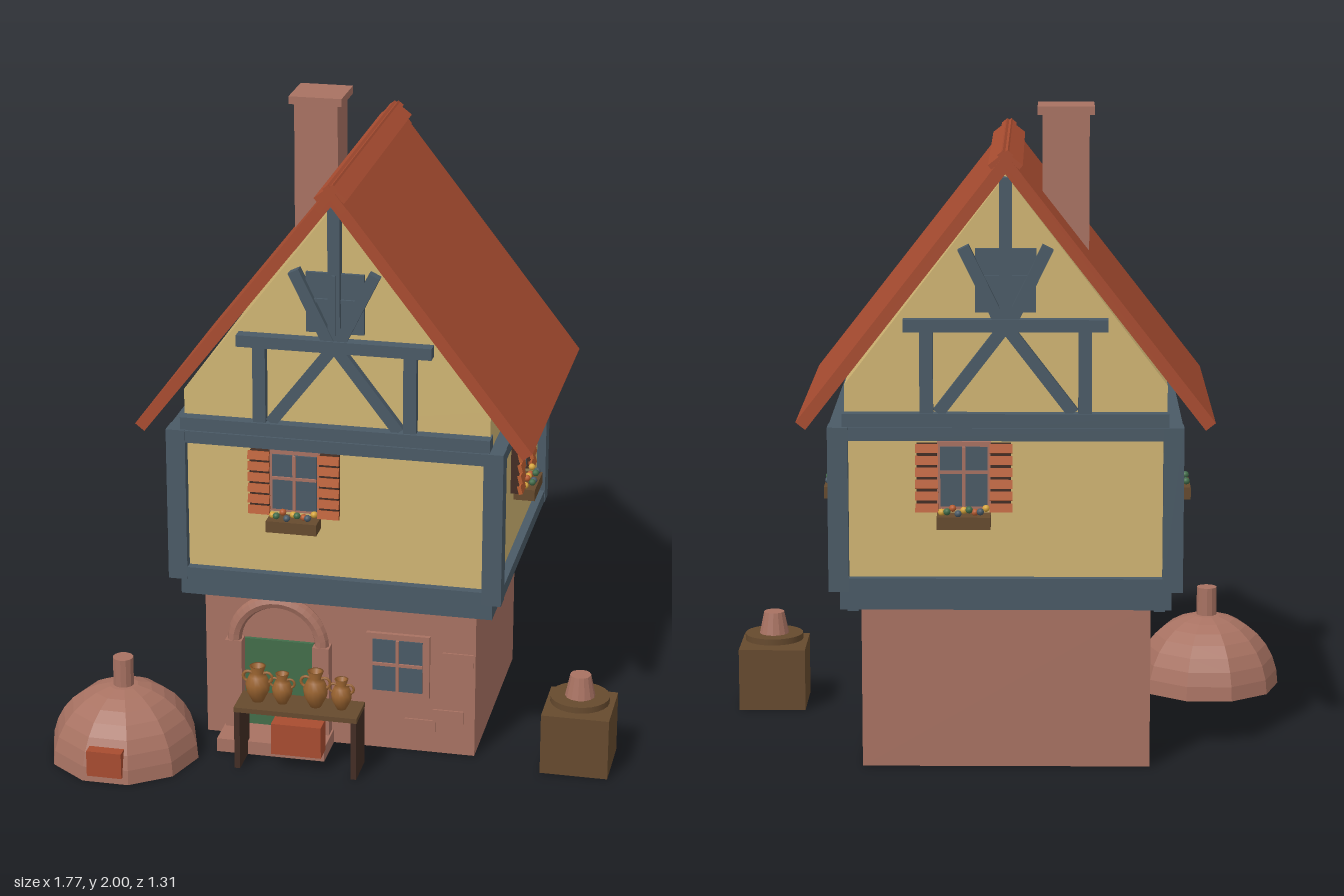
import * as THREE from 'three';

const mat = (name, color, extra = {}) => {
  const m = new THREE.MeshStandardMaterial({ color, ...extra });
  m.name = name;
  return m;
};

export function createModel() {
  const M = {
    brick: mat('clay brick', 0xa87262, { flatShading: true, side: THREE.DoubleSide }),
    plaster: mat('plaster', 0xd0b573),
    timber: mat('blue timber', 0x4a5a66),
    roof: mat('roof tile', 0xa84c30),
    green: mat('door green', 0x426d4a),
    orange: mat('shutter orange', 0xb85c30),
    wood: mat('wood', 0x664a2e),
    dark: mat('dark wood', 0x432d24),
    pot: mat('pottery', 0x98622f),
    yellow: mat('flower yellow', 0xd8a63c),
  };

  const add = (parent, name, geo, m, x = 0, y = 0, z = 0) => {
    const mesh = new THREE.Mesh(geo, m);
    mesh.name = name;
    mesh.position.set(x, y, z);
    parent.add(mesh);
    return mesh;
  };
  const group = (parent, name, x = 0, y = 0, z = 0, ry = 0) => {
    const g = new THREE.Group();
    g.name = name;
    g.position.set(x, y, z);
    g.rotation.y = ry;
    parent.add(g);
    return g;
  };
  // Box given by its lower and upper limits
  const box = (p, name, m, x0, x1, y0, y1, z0, z1) =>
    add(p, name, new THREE.BoxGeometry(x1 - x0, y1 - y0, z1 - z0), m, (x0 + x1) / 2, (y0 + y1) / 2, (z0 + z1) / 2);
  // Timber between two points in the x-y plane
  const beam = (p, name, m, x0, y0, x1, y1, w, z0, z1) => {
    const b = add(p, name, new THREE.BoxGeometry(Math.hypot(x1 - x0, y1 - y0), w, z1 - z0), m,
      (x0 + x1) / 2, (y0 + y1) / 2, (z0 + z1) / 2);
    b.rotation.z = Math.atan2(y1 - y0, x1 - x0);
    return b;
  };
  // Solid from an x-y outline, centred along z
  const prism = (pts, depth) => new THREE.ExtrudeGeometry(
    new THREE.Shape(pts.map(([x, y]) => new THREE.Vector2(x, y))), { depth, bevelEnabled: false })
    .translate(0, 0, -depth / 2);

  const model = group(new THREE.Group(), 'potteryHouse');
  const house = group(model, 'house', 0.008, 0, -0.153);

  // Ground floor and projecting sill
  box(house, 'groundFloor', M.brick, -0.437, 0.437, 0, 0.51, -0.37, 0.37);
  box(house, 'sill', M.timber, -0.497, 0.497, 0.508, 0.572, -0.435, 0.435);
  for (const s of [-1, 1]) for (const z of [0.325, 0.105, -0.055, -0.31])
    box(house, 'joistEnd', M.timber, s * 0.465 - 0.017, s * 0.465 + 0.017, 0.475, 0.51, z - 0.017, z + 0.017);

  // Upper storey with timber frame
  box(house, 'upperWall', M.plaster, -0.5, 0.5, 0.575, 1.06, -0.437, 0.437);
  for (const s of [-1, 1]) {
    for (const t of [-1, 1])
      box(house, 'cornerPost', M.timber, s * 0.4985 - 0.0305, s * 0.4985 + 0.0305, 0.57, 1.07,
        t * 0.435 - 0.032, t * 0.435 + 0.032);
    for (const [y0, y1] of [[0.571, 0.611], [1.03, 1.069]]) {
      box(house, 'frontRail', M.timber, -0.48, 0.48, y0, y1, s * 0.445 - 0.02, s * 0.445 + 0.02);
      box(house, 'sideRail', M.timber, s * 0.505 - 0.022, s * 0.505 + 0.022, y0, y1, -0.41, 0.41);
    }
  }

  // Shuttered window with flower box, facing +z from the wall
  const flowerMats = [M.yellow, M.green, M.orange, M.timber];
  const windowUnit = (x, z, ry) => {
    const holder = group(house, 'windowSide', 0, 0, 0, ry);
    const w = group(holder, 'shutteredWindow', x, 0.92, z);
    box(w, 'windowFrame', M.brick, -0.08, 0.08, -0.1, 0.105, 0, 0.012);
    box(w, 'glass', M.timber, -0.07, 0.07, -0.09, 0.09, 0.005, 0.018);
    box(w, 'mullion', M.brick, -0.005, 0.005, -0.09, 0.09, 0.01, 0.024);
    box(w, 'crossbar', M.brick, -0.07, 0.07, 0.01, 0.019, 0.01, 0.024);
    for (const s of [-1, 1]) {
      box(w, 'shutterBack', M.dark, s * 0.11 - 0.03, s * 0.11 + 0.03, -0.105, 0.1, 0, 0.026);
      for (let i = 0; i < 6; i++) {
        const slat = add(w, 'slat', new THREE.BoxGeometry(0.068, 0.027, 0.012), M.orange, s * 0.11, -0.092 + i * 0.036, 0.03);
        slat.rotation.x = -0.25;
      }
    }
    box(w, 'flowerBox', M.wood, -0.08, 0.08, -0.15, -0.113, 0, 0.068);
    for (let i = 0; i < 9; i++)
      add(w, 'flower', new THREE.IcosahedronGeometry(0.011, 1), flowerMats[i % 4],
        -0.066 + i * 0.0165, -0.104 + (i % 3) * 0.006, 0.035 + (i % 2) * 0.02);
  };
  windowUnit(-0.124, 0.437, 0);
  windowUnit(-0.124, 0.437, Math.PI);
  windowUnit(0, 0.5, Math.PI / 2);
  windowUnit(0, 0.5, -Math.PI / 2);

  // Gable body and its timbers, front and back
  add(house, 'gableWall', prism([[-0.48, 1.05], [0.48, 1.05], [0.48, 1.19], [0, 1.815], [-0.48, 1.19]], 0.84), M.plaster);
  for (const ry of [0, Math.PI]) {
    const g = group(house, 'gableTimbers', 0, 0, 0, ry);
    box(g, 'gableSill', M.timber, -0.485, 0.485, 1.03, 1.11, 0.4, 0.458);
    box(g, 'collarBeam', M.timber, -0.303, 0.303, 1.355, 1.392, 0.4, 0.46);
    box(g, 'kingPost', M.timber, -0.019, 0.019, 1.36, 1.81, 0.4, 0.45);
    box(g, 'gableWindow', M.timber, -0.09, 0.09, 1.41, 1.6, 0.4, 0.432);
    box(g, 'gableMullion', M.timber, -0.006, 0.006, 1.41, 1.6, 0.43, 0.456);
    box(g, 'gableCrossbar', M.timber, -0.08, 0.08, 1.508, 1.52, 0.43, 0.44);
    for (const s of [-1, 1]) {
      box(g, 'gablePost', M.timber, s * 0.235 - 0.02, s * 0.235 + 0.02, 1.1, 1.36, 0.4, 0.45);
      beam(g, 'lowerBrace', M.timber, s * 0.2, 1.11, 0, 1.37, 0.036, 0.4, 0.446);
      beam(g, 'upperBrace', M.timber, 0, 1.35, s * 0.125, 1.605, 0.036, 0.4, 0.453);
    }
  }

  // Roof and ridge
  add(house, 'roof', prism([[0, 1.885], [-0.62, 1.09], [-0.591, 1.067], [0, 1.825], [0.591, 1.067], [0.62, 1.09]], 0.975), M.roof);
  for (const s of [-1, 1]) {
    beam(house, 'ridgeCap', M.roof, s * 0.042, 1.815, -s * 0.015, 1.888, 0.022, -0.494, 0.494);
    beam(house, 'ridgeTile', M.roof, s * 0.046, 1.845, -s * 0.012, 1.89, 0.016, -0.491, 0.491);
  }

  // Chimney
  box(model, 'chimney', M.brick, -0.24, -0.1, 1.4, 1.98, -0.39, -0.25);
  box(model, 'chimneyCap', M.brick, -0.255, -0.085, 1.975, 2, -0.407, -0.237);

  // Arched doorway
  const door = group(model, 'doorway', -0.187, 0, 0.217);
  box(door, 'doorLeaf', M.green, -0.112, 0.112, 0.04, 0.345, -0.01, 0.012);
  add(door, 'arch', new THREE.TorusGeometry(0.142, 0.023, 8, 20, Math.PI), M.brick, 0, 0.345, 0.022);
  for (const s of [-1, 1])
    box(door, 'pilaster', M.brick, s * 0.142 - 0.027, s * 0.142 + 0.027, 0.04, 0.347, -0.01, 0.045);
  box(door, 'step', M.brick, -0.175, 0.175, 0, 0.045, -0.01, 0.14);

  // Ground floor window
  const shop = group(model, 'groundWindow', 0.198, 0.297, 0.217);
  box(shop, 'surround', M.brick, -0.102, 0.102, -0.107, 0.107, -0.01, 0.014);
  box(shop, 'glass', M.timber, -0.08, 0.08, -0.088, 0.088, 0, 0.018);
  box(shop, 'mullion', M.brick, -0.005, 0.005, -0.088, 0.088, 0, 0.024);
  box(shop, 'crossbar', M.brick, -0.08, 0.08, 0.0, 0.01, 0, 0.024);

  // A few raised bricks on the walls
  for (const [x, y] of [[0.36, 0.13], [0.27, 0.09], [0.39, 0.33]])
    box(model, 'raisedBrick', M.brick, x - 0.05, x + 0.05, y - 0.022, y + 0.022, 0.21, 0.223);

  // Table with pots
  const table = group(model, 'potTable', -0.083, 0, 0.395);
  box(table, 'tableTop', M.wood, -0.197, 0.197, 0.195, 0.211, -0.063, 0.063);
  for (const s of [-1, 1])
    box(table, 'tableLeg', M.dark, s * 0.187 - 0.009, s * 0.187 + 0.009, 0, 0.196, -0.062, 0.062);
  box(table, 'brickStack', M.roof, -0.08, 0.08, 0.055, 0.16, -0.02, 0.05);
  const potProfile = [[0, 0], [0.018, 0], [0.036, 0.035], [0.039, 0.062], [0.028, 0.087], [0.018, 0.097],
    [0.026, 0.12], [0.019, 0.119], [0.013, 0.1], [0, 0.096]].map(([x, y]) => new THREE.Vector2(x, y));
  for (const [x, s, handles] of [[-0.134, 1, [-1, 1]], [-0.055, 0.84, [-1, 1]], [0.052, 1, [-1, 1]], [0.135, 0.84, [1, -1]]]) {
    const p = group(table, 'pot', x, 0.211, -0.003);
    p.scale.setScalar(s);
    add(p, 'potBody', new THREE.LatheGeometry(potProfile, 14), M.pot);
    for (const h of handles)
      add(p, 'potHandle', new THREE.TorusGeometry(0.017, 0.005, 6, 12), M.pot, h * 0.03, 0.082, 0);
  }

  // Domed kiln
  const kiln = group(model, 'kiln', -0.648, 0, 0.415);
  add(kiln, 'dome', new THREE.SphereGeometry(0.24, 10, 8, 0, Math.PI * 2, 0, Math.PI / 2), M.brick);
  add(kiln, 'flue', new THREE.CylinderGeometry(0.033, 0.033, 0.12, 12), M.brick, 0, 0.27, 0);
  box(kiln, 'kilnDoor', M.roof, -0.056, 0.056, 0.025, 0.11, 0.18, 0.24);

  // Potter's wheel
  const wheel = group(model, 'pottersWheel', 0.773, 0, 0.18);
  box(wheel, 'wheelBox', M.wood, -0.107, 0.107, 0, 0.2, -0.107, 0.107);
  add(wheel, 'wheelShaft', new THREE.CylinderGeometry(0.03, 0.03, 0.02, 12), M.dark, 0, 0.205, 0);
  add(wheel, 'wheelDisc', new THREE.CylinderGeometry(0.094, 0.094, 0.02, 24), M.wood, 0, 0.222, 0);
  add(wheel, 'clay', new THREE.CylinderGeometry(0.033, 0.048, 0.072, 14), M.brick, 0, 0.267, 0);

  return model;
}
